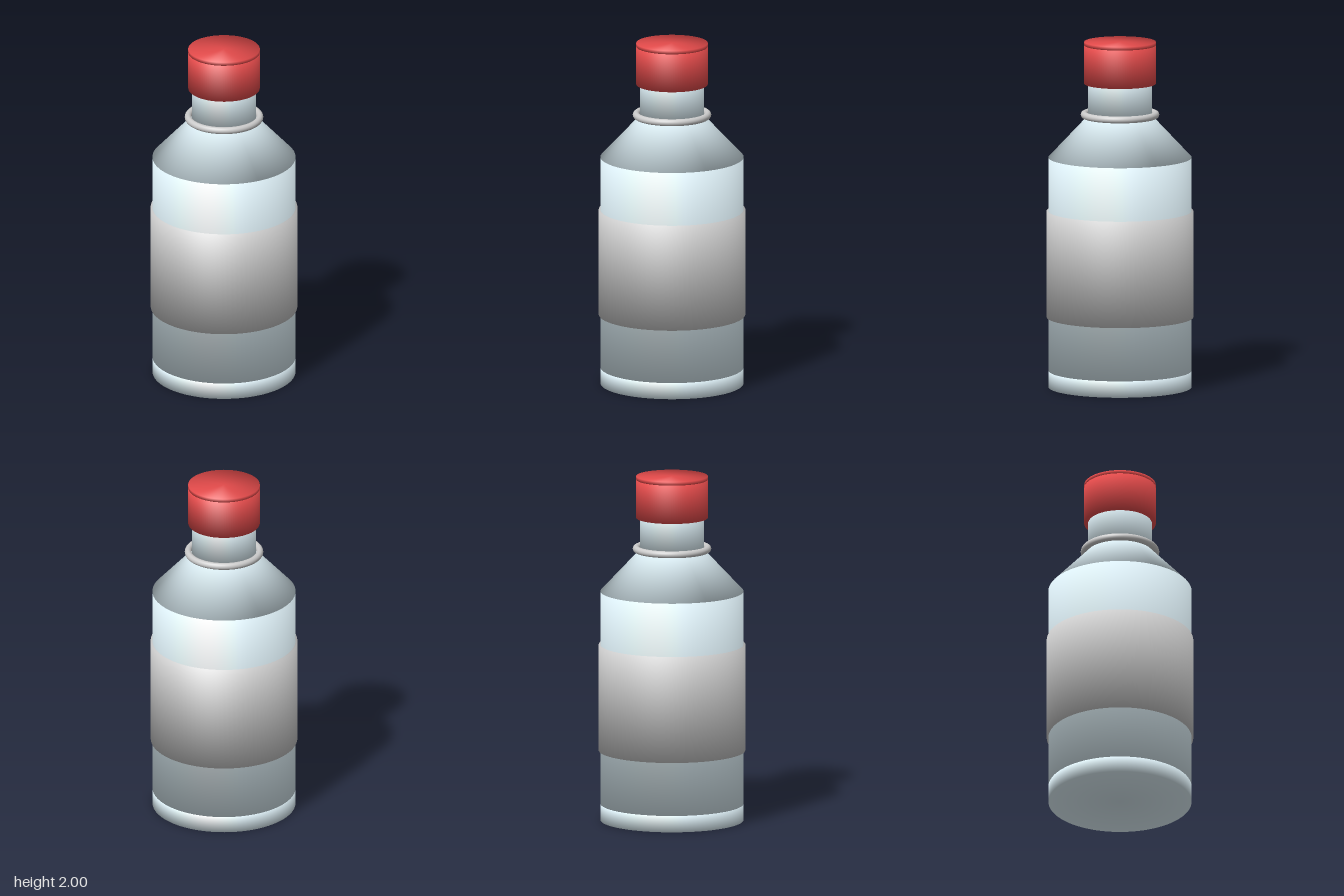
import * as THREE from 'three';

const glass = new THREE.MeshStandardMaterial({ color: 0xdceef5 });
const red = new THREE.MeshStandardMaterial({ color: 0xe24a4a });
const grey = new THREE.MeshStandardMaterial({ color: 0xcccccc });

// Closed round section from y0 to y1, with normals blended softly over its rims
function section(name, material, rBottom, rTop, y0, y1) {
  const points = [[0, y0], [rBottom, y0], [rTop, y1], [0, y1]].map(([r, y]) => new THREE.Vector2(r, y));
  const geometry = new THREE.LatheGeometry(points, 96);
  const side = new THREE.Vector2(y1 - y0, rBottom - rTop).normalize();
  const low = new THREE.Vector2(side.x, side.y - 1).normalize();
  const high = new THREE.Vector2(side.x, side.y + 1).normalize();
  const profile = [new THREE.Vector2(0, low.y), low, high, new THREE.Vector2(0, high.y)];
  const normal = geometry.attributes.normal;
  for (let i = 0; i < normal.count; i++) {
    const n = profile[i % 4];
    const a = (Math.floor(i / 4) / 96) * Math.PI * 2;
    normal.setXYZ(i, n.x * Math.sin(a), n.y, n.x * Math.cos(a));
  }
  const mesh = new THREE.Mesh(geometry, material);
  mesh.name = name;
  return mesh;
}

export function createModel() {
  const bottle = new THREE.Group();
  bottle.name = 'bottle';

  // Glass from foot to neck, the label band and the two-part cap
  bottle.add(
    section('base', glass, 0.41, 0.41, 0, 0.095),
    section('body', glass, 0.41, 0.41, 0.095, 1.33),
    section('label', grey, 0.42, 0.42, 0.405, 1.02),
    section('shoulder', glass, 0.41, 0.185, 1.33, 1.57),
    section('neck', glass, 0.183, 0.183, 1.57, 1.8),
    section('cap', red, 0.205, 0.205, 1.757, 1.98),
    section('capTop', red, 0.205, 0.205, 1.98, 2)
  );

  // Collar ring where the neck meets the shoulder
  const ring = new THREE.Mesh(new THREE.TorusGeometry(0.205, 0.02, 16, 96), grey);
  ring.name = 'neckRing';
  ring.rotation.x = Math.PI / 2;
  ring.position.y = 1.578;
  bottle.add(ring);

  return bottle;
}
